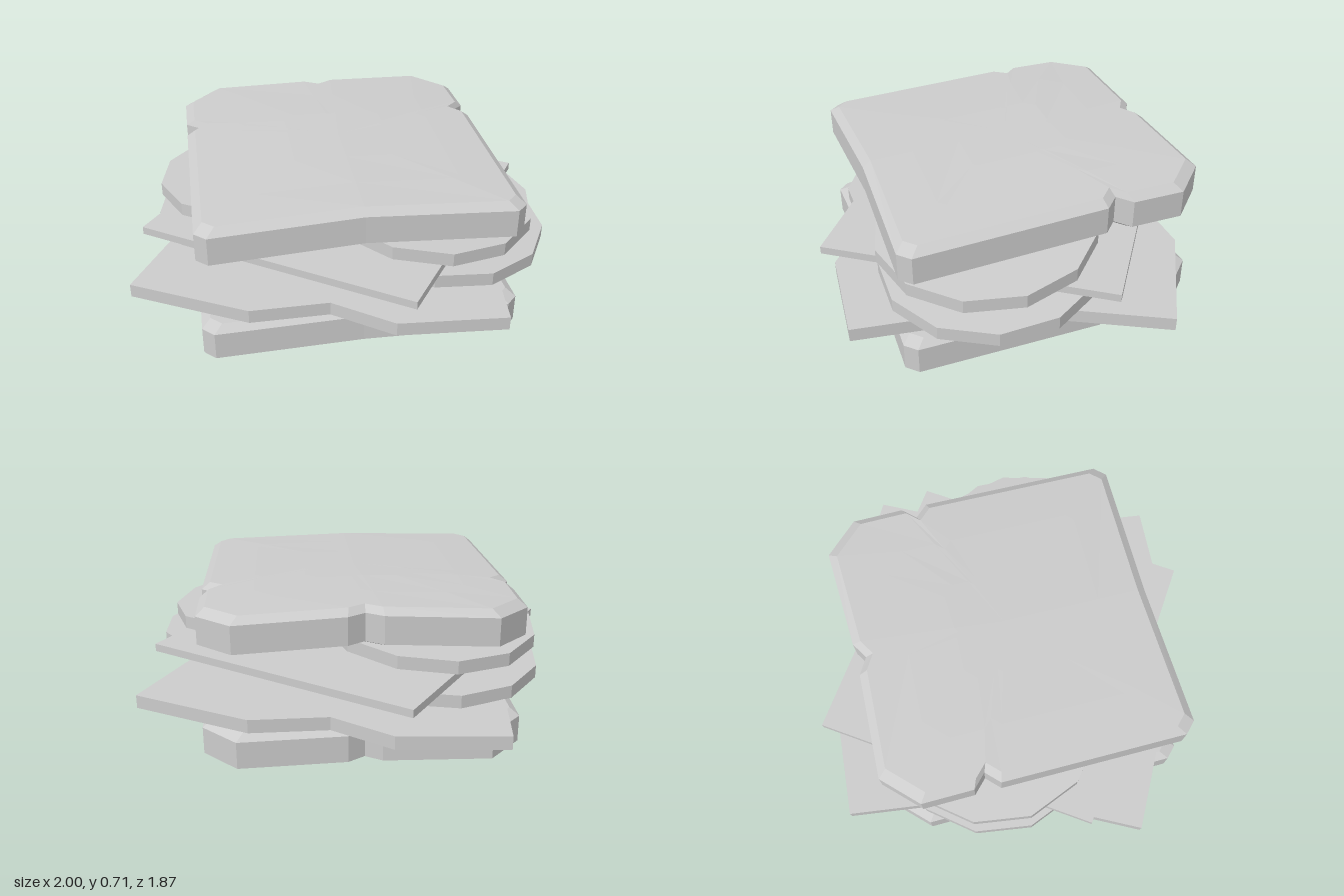
import * as THREE from 'three';

const material = new THREE.MeshStandardMaterial({ color: 0xcccccc, flatShading: true });

function addPart(group, name, geometry) {
  const mesh = new THREE.Mesh(geometry, material);
  mesh.name = name;
  group.add(mesh);
  return mesh;
}

// Half of the notched toast outline (x, z), front centre to back centre; mirrored below.
const halfOutline = [
  [0, 0.68], [0.65, 0.7], [0.7, 0.65], [0.7, 0.25], [0.7, -0.2], [0.64, -0.26],
  [0.7, -0.32], [0.7, -0.555], [0.55, -0.705], [0.075, -0.685], [0, -0.64],
];
const breadOutline = [
  ...halfOutline,
  ...halfOutline.slice(1, -1).reverse().map(([x, z]) => [-x, z]),
];

// Bevelled slice: rings of [outline scale, height], with a bend rule for the height.
function breadSlice(bend) {
  const rings = [
    [0, 0], [0.33, 0], [0.66, 0], [0.945, 0], [1, 0.015],
    [1, 0.14], [0.945, 0.168], [0.66, 0.168], [0.33, 0.168], [0, 0.168],
  ];
  const n = breadOutline.length;
  const positions = [];
  const index = [];
  for (const [s, y] of rings) {
    for (const [px, pz] of breadOutline) {
      const x = px * s, z = pz * s;
      positions.push(x, y + bend(x, z), z);
    }
  }
  for (let r = 0; r < rings.length - 1; r++) {
    for (let i = 0; i < n; i++) {
      const a = r * n + i, b = r * n + (i + 1) % n;
      if (rings[r][0] > 0) index.push(a, b, a + n);
      if (rings[r + 1][0] > 0) index.push(b, b + n, a + n);
    }
  }
  const geometry = new THREE.BufferGeometry();
  geometry.setAttribute('position', new THREE.Float32BufferAttribute(positions, 3));
  geometry.setIndex(index);
  geometry.computeVertexNormals();
  return geometry;
}

// Thin round slice, sheared so that it leans on its neighbour.
function leaningDisc([x, y, z], slopeX, slopeZ, spin) {
  const geometry = new THREE.CylinderGeometry(0.5, 0.5, 0.06, 12);
  geometry.rotateY(spin);
  const p = geometry.attributes.position;
  for (let i = 0; i < p.count; i++) {
    p.setY(i, p.getY(i) + slopeX * p.getX(i) + slopeZ * p.getZ(i));
  }
  geometry.translate(x, y, z);
  geometry.computeVertexNormals();
  return geometry;
}

export function createModel() {
  const model = new THREE.Group();
  model.name = 'sandwich';

  // Bread: flat below, sagging to the front and sides on top
  addPart(model, 'bottomBread', breadSlice(() => 0));
  addPart(model, 'topBread', breadSlice((x, z) =>
    0.475 + 0.027 * (1 - (x / 0.7) ** 2) + 0.04 * Math.min(1, (0.7 - z) / 0.95)));

  // Lower sheet: four lobes, the second half turned by 180 degrees
  const half = [[-0.577, -0.91], [-0.1, -0.87], [0.15, -0.68], [0.5, -0.68], [1, -0.4], [0.68, 0.2]];
  const outline = [...half, ...half.map(([x, z]) => [-x, -z])];
  const shape = new THREE.Shape(outline.map(([x, z]) => new THREE.Vector2(x, -z)));
  const sheet = new THREE.ExtrudeGeometry(shape, { depth: 0.062, bevelEnabled: false });
  sheet.rotateX(-Math.PI / 2);
  sheet.translate(0, 0.17, 0);
  addPart(model, 'lowerSheet', sheet);

  // Upper sheet: a thin turned square
  const square = new THREE.BoxGeometry(1.34, 0.036, 1.34);
  square.rotateY(-0.613);
  square.translate(0, 0.362, 0);
  addPart(model, 'upperSheet', square);

  // Two pairs of round slices
  addPart(model, 'lowerRightDisc', leaningDisc([-0.365, 0.285, -0.15], 0.03, 0.04, 0.1));
  addPart(model, 'lowerLeftDisc', leaningDisc([0.435, 0.325, 0.23], -0.06, -0.05, 0.25));
  addPart(model, 'upperRightDisc', leaningDisc([-0.345, 0.452, -0.15], 0.055, 0.05, 0.1));
  addPart(model, 'upperLeftDisc', leaningDisc([0.37, 0.448, 0.23], -0.07, -0.05, 0));

  return model;
}
